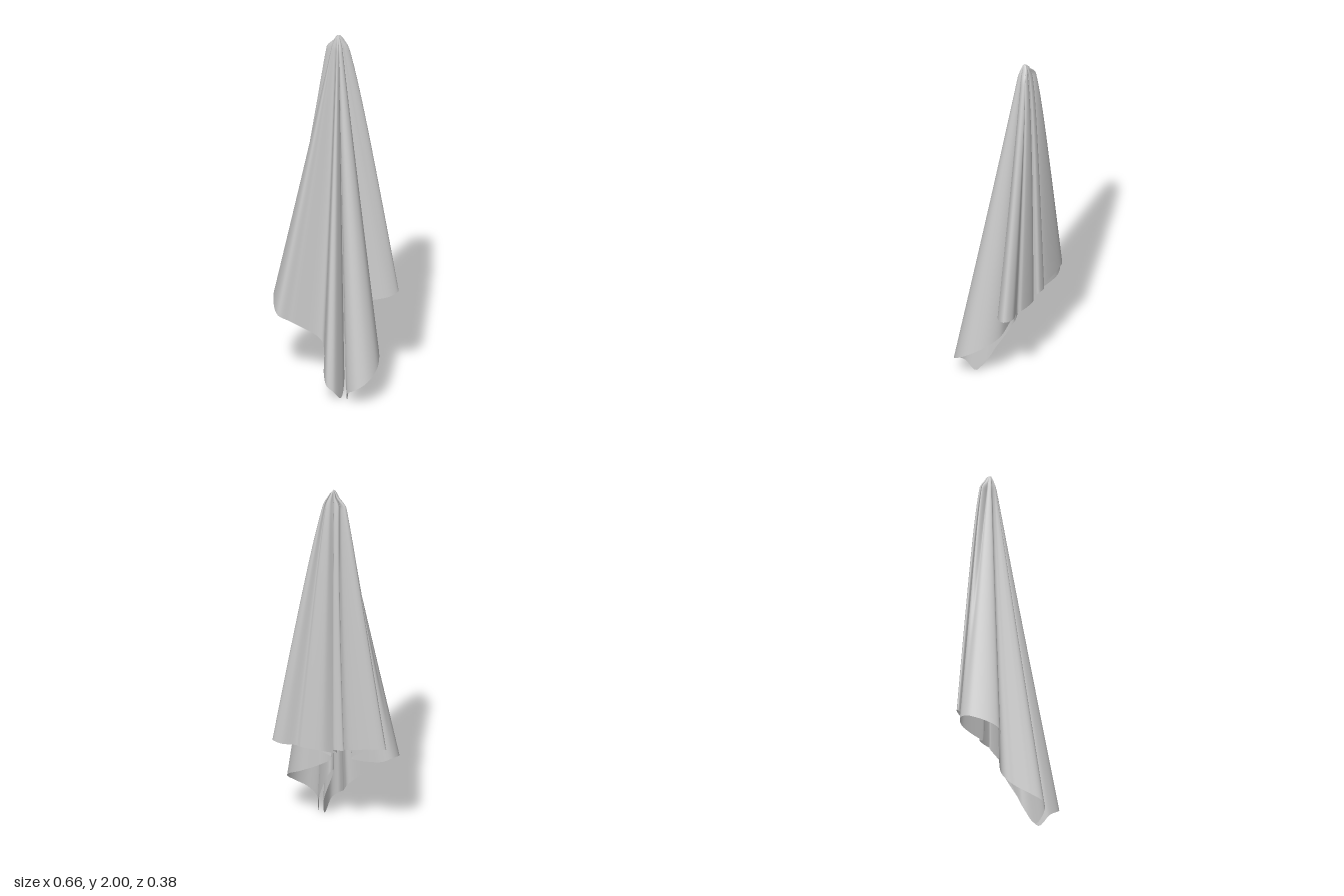
import * as THREE from 'three';

// Hem of the hanging cloth, one loop seen from above: [x, height, z]
const HEM = [
  // wide left fold
  [-0.05, 0.25, -0.02], [-0.2, 0.36, 0.04], [-0.265, 0.4, 0.062],
  [-0.33, 0.47, -0.08], [-0.305, 0.48, -0.14], [-0.25, 0.46, -0.155], [-0.08, 0.44, -0.105],
  // back left fold
  [-0.19, 0.52, -0.153], [-0.28, 0.54, -0.165], [-0.24, 0.55, -0.187],
  [-0.08, 0.52, -0.17], [-0.03, 0.5, -0.125],
  // narrow centre back fold
  [-0.058, 0.52, -0.188], [0.0, 0.52, -0.187], [-0.01, 0.48, -0.14],
  // flat back panel
  [0.06, 0.51, -0.19], [0.18, 0.52, -0.184], [0.195, 0.52, -0.172],
  // back right fold
  [0.28, 0.53, -0.19], [0.328, 0.535, -0.165], [0.3, 0.52, -0.115], [0.21, 0.5, -0.08],
  [0.06, 0.46, -0.115], [0.02, 0.44, -0.118],
  // front right fold
  [0.08, 0.38, -0.082], [0.2, 0.32, -0.07], [0.27, 0.27, -0.01], [0.302, 0.2, 0.09],
  [0.27, 0.14, 0.165], [0.215, 0.1, 0.19], [0.16, 0.06, 0.165], [0.142, 0.0, 0.11],
  // deep front valley
  [0.13, 0.1, 0.045], [0.04, 0.33, -0.068], [0.025, 0.34, -0.055],
  // middle front fold
  [0.1, 0.1, 0.04], [0.107, 0.0, 0.11],
  [0.085, 0.06, 0.17], [0.05, 0.09, 0.175], [0.015, 0.13, 0.12], [-0.015, 0.19, 0.03],
];
const TOP = new THREE.Vector3(0.012, 2, -0.108);
const AROUND = 420, DOWN = 70;
const { lerp, smoothstep } = THREE.MathUtils;

// Point of the cloth above a hem point, t running from the peak (0) to the hem (1)
function drape(hem, t) {
  const dx = hem.x - TOP.x, dz = hem.z - TOP.z;
  const back = smoothstep(-dz, 0.005, 0.05);
  const spreadX = Math.pow(t, lerp(0.96, 0.8, back));
  const spreadZ = Math.pow(t, lerp(0.97, 0.32, back));
  // rounded tip in front, wider shoulders where the back folds start below the tip
  const reach = Math.hypot(dx, dz) + 0.02;
  const tip = 0.02 * Math.sqrt(Math.min(1, t * 25)) * Math.pow(1 - t, 3) / reach;
  const shoulder = (dx < 0 ? 0.032 : 0.008) * smoothstep(t, 0.02, 0.06) * Math.pow(1 - t, 2) / reach;
  return [
    TOP.x + dx * (spreadX + tip + shoulder * back),
    TOP.y - (TOP.y - hem.y) * t,
    TOP.z + dz * (spreadZ + tip * (1 - back)),
  ];
}

export function createModel() {
  const group = new THREE.Group();
  group.name = 'hangingCloth';

  const curve = new THREE.CatmullRomCurve3(HEM.map(p => new THREE.Vector3(...p)), true, 'centripetal');
  curve.arcLengthDivisions = 1000;
  const hem = curve.getSpacedPoints(AROUND);
  const positions = [], index = [];
  for (let j = 0; j <= DOWN; j++) {
    const t = Math.pow(j / DOWN, 1.8);
    for (let i = 0; i < AROUND; i++) positions.push(...drape(hem[i], t));
  }
  // Corners ordered so that the outside of the cloth is the front
  for (let j = 0; j < DOWN; j++) {
    for (let i = 0; i < AROUND; i++) {
      const a = j * AROUND + i, b = j * AROUND + (i + 1) % AROUND;
      const c = a + AROUND, d = b + AROUND;
      if (j > 0) index.push(b, a, c);
      index.push(d, b, c);
    }
  }

  const geometry = new THREE.BufferGeometry();
  geometry.setAttribute('position', new THREE.Float32BufferAttribute(positions, 3));
  geometry.setIndex(index);
  geometry.computeVertexNormals();

  const cloth = new THREE.Mesh(geometry, new THREE.MeshStandardMaterial({
    color: 0xcccccc, side: THREE.DoubleSide,
  }));
  cloth.name = 'drapedCloth';
  group.add(cloth);
  return group;
}
